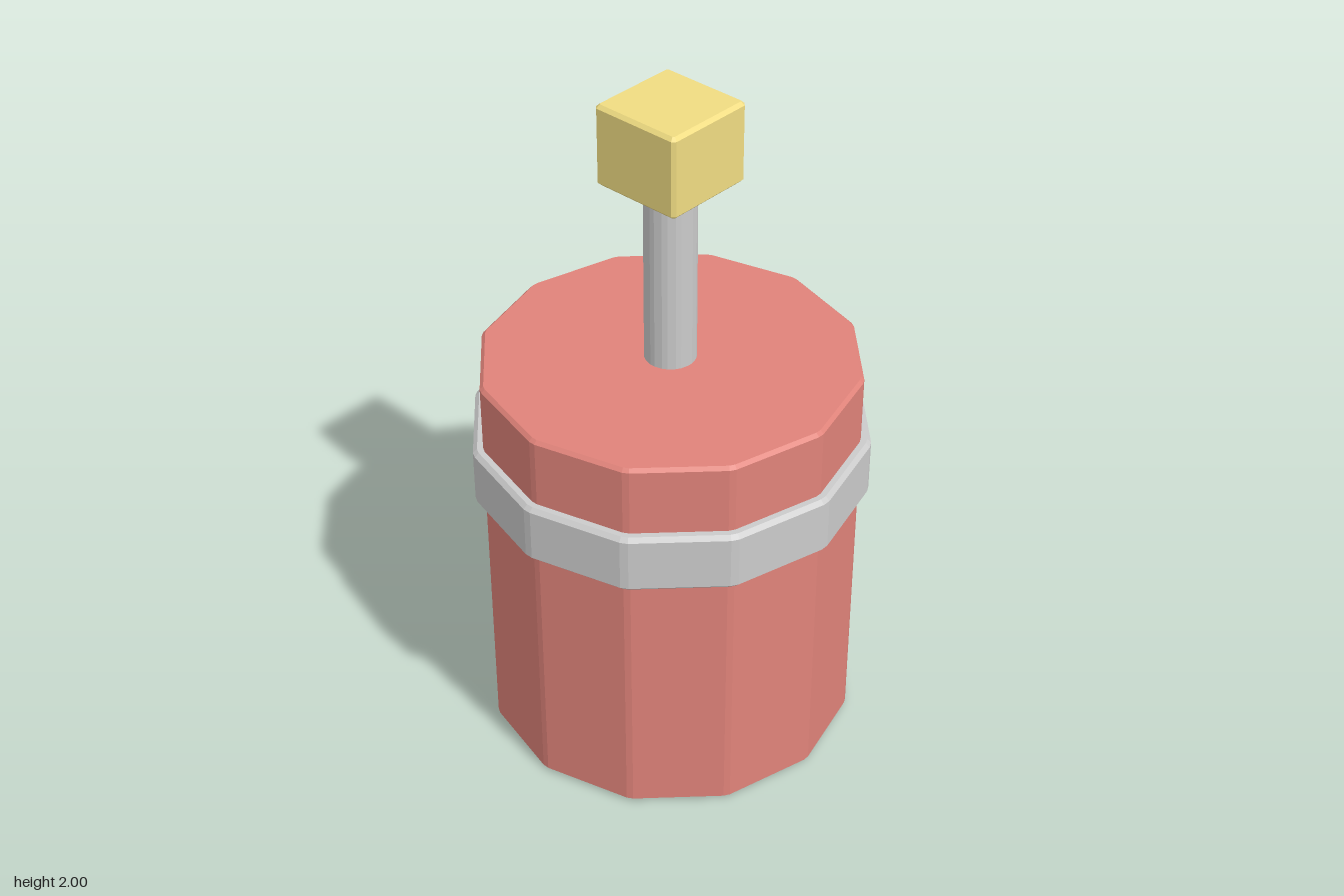
import * as THREE from 'three';

// Upright prism with n sides and every edge chamfered; corners start at the angle "phase"
function chamferedPrism(name, color, n, radius, y0, y1, bevel, phase = 0) {
  const corner = (i) => {
    const a = phase + (i / n) * Math.PI * 2;
    return new THREE.Vector2(Math.cos(a) * radius, Math.sin(a) * radius);
  };
  const points = [];
  for (let i = 0; i < n; i++) {
    const c = corner(i);
    for (const next of [corner(i - 1), corner(i + 1)]) {
      points.push(c.clone().add(next.sub(c).setLength(bevel)));
    }
  }
  const geometry = new THREE.ExtrudeGeometry(new THREE.Shape(points), {
    depth: y1 - y0 - 2 * bevel,
    bevelEnabled: true,
    bevelThickness: bevel,
    bevelSize: bevel,
    bevelOffset: -bevel,
    bevelSegments: 1,
  });
  geometry.rotateX(-Math.PI / 2);
  geometry.translate(0, y0 + bevel, 0);
  const mesh = new THREE.Mesh(geometry, new THREE.MeshStandardMaterial({ color, flatShading: true }));
  mesh.name = name;
  return mesh;
}

export function createModel() {
  const group = new THREE.Group();
  group.name = 'plungerCanister';
  group.add(
    // Twelve-sided drum and the band around it
    chamferedPrism('drum', 0xe0837a, 12, 0.547, 0, 1.21, 0.01),
    chamferedPrism('band', 0xcccccc, 12, 0.577, 0.82, 1.0, 0.012),
    // Plunger rod with a block handle
    chamferedPrism('rod', 0xcccccc, 12, 0.076, 1.2, 1.77, 0.008),
    chamferedPrism('handle', 0xf0dc82, 4, 0.141 * Math.SQRT2, 1.76, 2.0, 0.01, Math.PI / 4),
  );
  return group;
}
